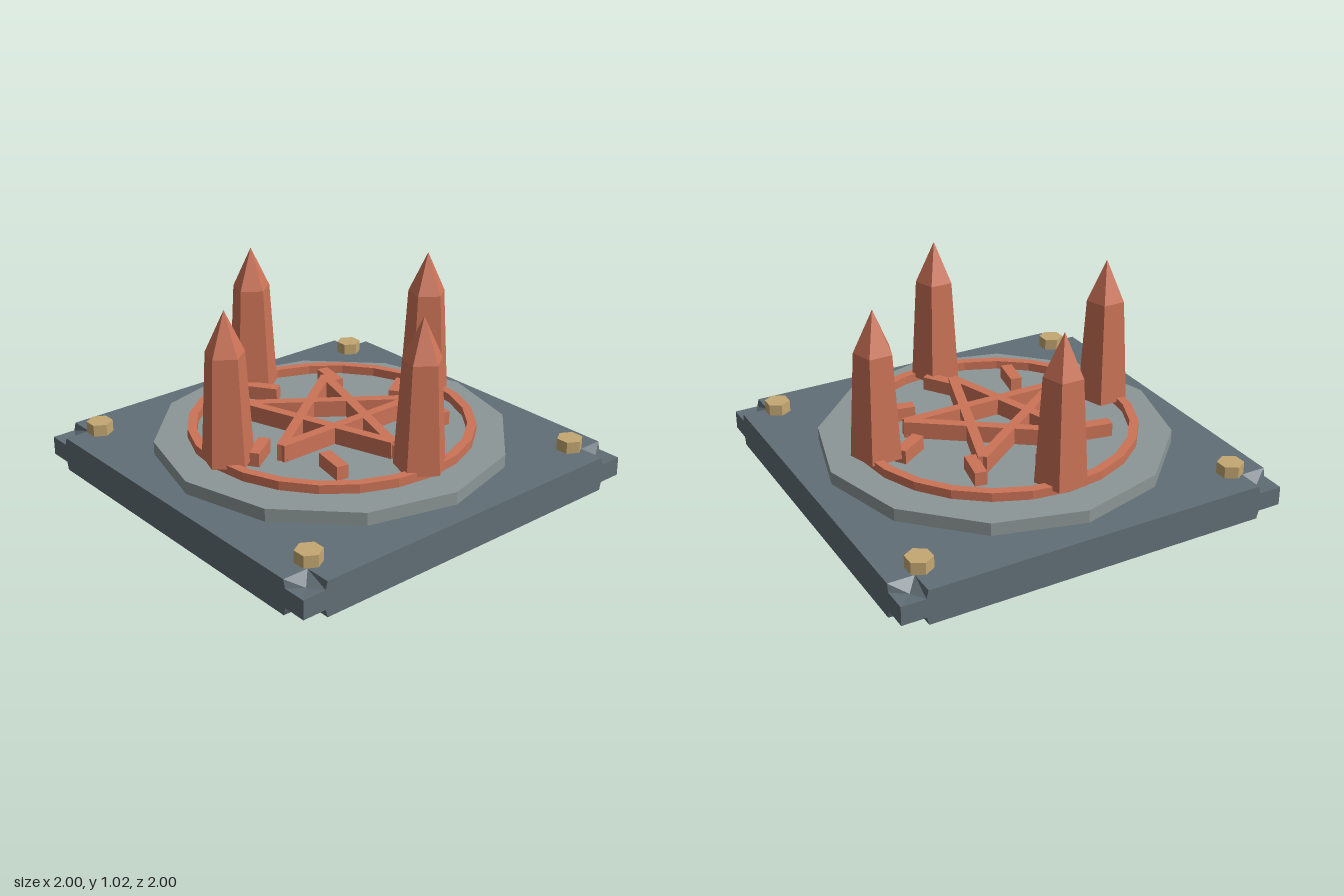
import * as THREE from 'three';

const material = (color) => new THREE.MeshStandardMaterial({ color, flatShading: true });
const slate = material(0x616e76);
const stone = material(0x8c9696);
const brass = material(0xc4a872);
const clay = material(0xcc7357);

function add(parent, name, geometry, mat, x = 0, y = 0, z = 0, turn = 0) {
  const mesh = new THREE.Mesh(geometry, mat);
  mesh.name = name;
  mesh.position.set(x, y, z);
  mesh.rotation.y = turn;
  parent.add(mesh);
  return mesh;
}

// Square slab with a chipped notch at each corner: one octant, mirrored eight ways
function slabGeometry(H = 0.0875, h = 0.0475, c = 0.87, e = 0.88) {
  const swap = (face) => face.map(([x, y, z]) => [z, y, x]).reverse();
  const dent = [0.92, 0.038, 0.92];
  const top = [[0, H, 0], [0, H, 1], [c, H, 1], [c, H, c], [1, H, c], [1, H, 0]];
  const side = [[0, 0, 1], [1, 0, 1], [1, h, 1], [e, h, 1], [c, H, 1], [0, H, 1]];
  const wall = [[c, H, 1], [e, h, 1], dent, [c, H, c]];
  const floor = [[1, h, 1], [1, h, e], dent, [e, h, 1]];
  // Swapping x and z reverses the order, so each fan restarts at its own first corner
  const otherSide = swap(side);
  otherSide.unshift(otherSide.pop());
  const faces = [top, side, otherSide, wall, swap(wall), floor];
  const points = [];
  for (const sx of [1, -1]) for (const sy of [1, -1]) for (const sz of [1, -1]) {
    for (const face of faces) {
      for (let i = 1; i < face.length - 1; i++) {
        const tri = [face[0], face[i], face[i + 1]];
        if (sx * sy * sz < 0) tri.reverse();
        for (const [x, y, z] of tri) points.push(x * sx, y * sy, z * sz);
      }
    }
  }
  const geometry = new THREE.BufferGeometry();
  geometry.setAttribute('position', new THREE.Float32BufferAttribute(points, 3));
  geometry.computeVertexNormals();
  return geometry;
}

export function createModel() {
  const model = new THREE.Group();
  model.name = 'ritualPlatform';

  // Base and twelve-sided plinth
  add(model, 'baseSlab', slabGeometry(), slate, 0, 0.0875, 0);
  add(model, 'plinth', new THREE.CylinderGeometry(0.88, 0.88, 0.07, 12), stone, 0, 0.205, 0);

  // Hexagonal corner studs
  const stud = new THREE.CylinderGeometry(0.065, 0.065, 0.065, 6);
  for (const x of [-0.828, 0.828]) for (const z of [-0.828, 0.828]) {
    add(model, 'cornerStud', stud, brass, x, 0.2025, z, Math.PI / 2);
  }

  // Ring of short straight segments
  const ring = new THREE.Group();
  ring.name = 'ring';
  model.add(ring);
  const segment = new THREE.BoxGeometry(0.045, 0.045, 0.187);
  for (let i = 0; i < 24; i++) {
    const a = ((i + 0.5) / 24) * Math.PI * 2;
    add(ring, 'ringSegment', segment, clay, 0.685 * Math.cos(a), 0.2725, 0.685 * Math.sin(a), -a);
  }

  // Five-pointed star: each bar joins two tips that are two steps apart
  const star = new THREE.Group();
  star.name = 'star';
  model.add(star);
  const bar = new THREE.BoxGeometry(0.05, 0.085, 0.855);
  for (let i = 0; i < 5; i++) {
    const a = (i / 5) * Math.PI * 2;
    add(star, 'starBar', bar, clay, 0.136 * Math.cos(a), 0.2925, 0.136 * Math.sin(a), -a);
  }

  // Loose marker blocks, each skewed from the radial direction
  const block = new THREE.BoxGeometry(0.17, 0.07, 0.06);
  for (let i = 0; i < 8; i++) {
    const a = (i / 8) * Math.PI * 2 - 0.1;
    add(model, 'markerBlock', block, clay, 0.495 * Math.cos(a), 0.285, 0.495 * Math.sin(a), -(a - 0.49));
  }

  // Five-sided tapering spikes with pointed tips
  const shaft = new THREE.CylinderGeometry(0.097, 0.13, 0.535, 5);
  const tip = new THREE.ConeGeometry(0.097, 0.21, 5, 1, true);
  for (const [x, z] of [[1, 0], [-1, 0], [0, 1], [0, -1]]) {
    const spike = new THREE.Group();
    spike.name = 'spike';
    spike.position.set(x * 0.635, 0.275, z * 0.635);
    spike.rotation.y = Math.PI / 2;
    add(spike, 'spikeShaft', shaft, clay, 0, 0.2675, 0);
    add(spike, 'spikeTip', tip, clay, 0, 0.64, 0);
    model.add(spike);
  }
  return model;
}
